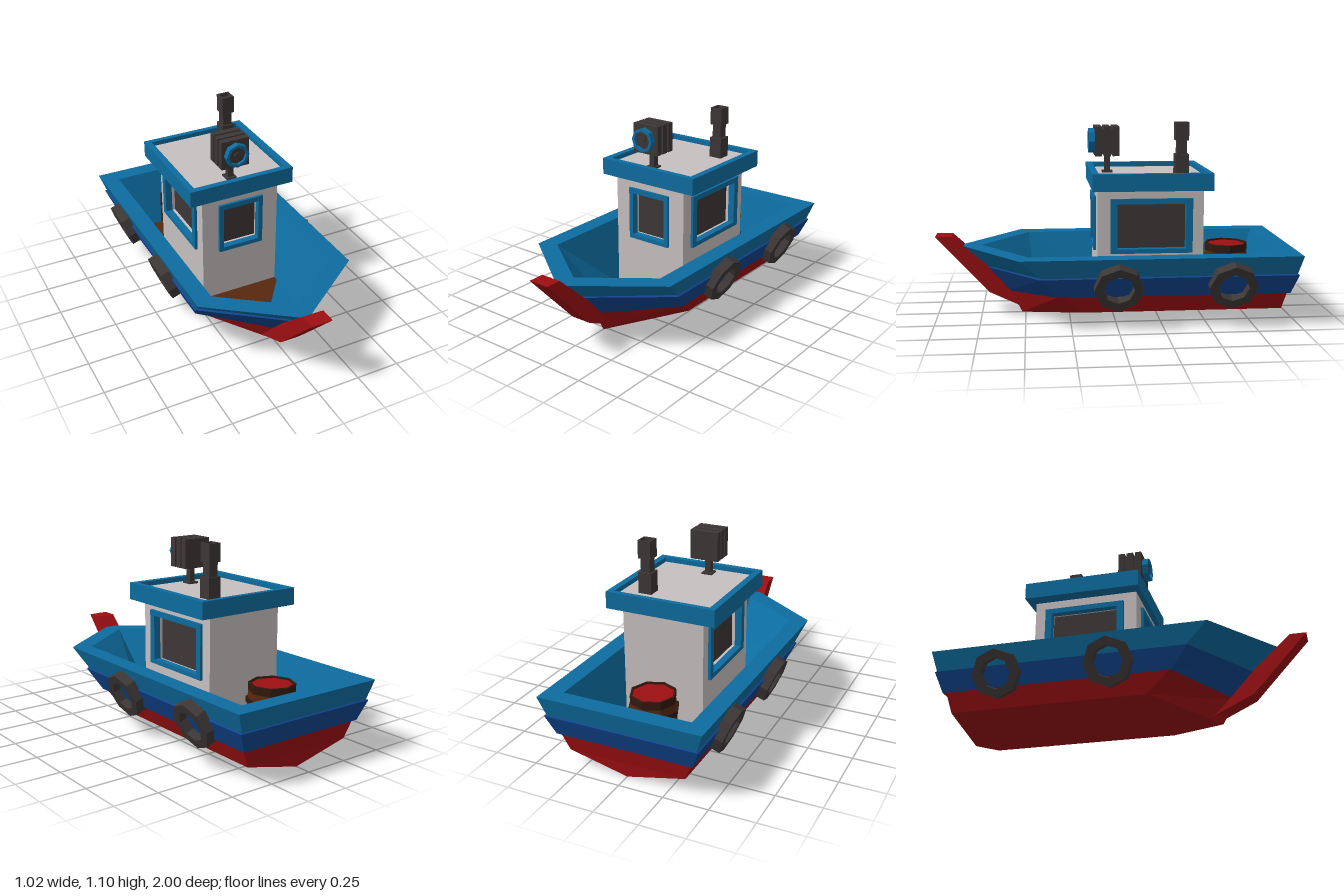
import * as THREE from 'three';

const mat = (name, color) => Object.assign(new THREE.MeshStandardMaterial({ color }), { name });

export function createModel() {
  const boat = new THREE.Group();
  boat.name = 'tugboat';
  const teal = mat('teal', 0x0d6c9f), blue = mat('navy blue', 0x10448c), red = mat('red', 0x9c0f12);
  const grey = mat('charcoal', 0x3d3736), white = mat('off white', 0xc6c0bf);
  const brown = mat('deck brown', 0x58270f), darkBrown = mat('dark brown', 0x33190f);

  // Helpers: faceted mesh, box, rectangle with a hole, octagonal ring
  const add = (name, geo, material, parent = boat) => {
    const g = geo.index ? geo.toNonIndexed() : geo;
    g.computeVertexNormals();
    const m = new THREE.Mesh(g, material);
    m.name = name;
    parent.add(m);
    return m;
  };
  const box = (name, material, x0, x1, y0, y1, z0, z1, parent) =>
    add(name, new THREE.BoxGeometry(x1 - x0, y1 - y0, z1 - z0)
      .translate((x0 + x1) / 2, (y0 + y1) / 2, (z0 + z1) / 2), material, parent);
  const rect = (target, x0, x1, y0, y1) => {
    target.moveTo(x0, y0).lineTo(x1, y0).lineTo(x1, y1).lineTo(x0, y1).closePath();
    return target;
  };
  const holed = (outer, inner, depth) => {
    const s = rect(new THREE.Shape(), ...outer);
    s.holes.push(rect(new THREE.Path(), ...inner));
    return new THREE.ExtrudeGeometry(s, { depth, bevelEnabled: false });
  };
  const lathe = (pts) => new THREE.LatheGeometry(pts.map(p => new THREE.Vector2(...p)), 8);
  const ring = (ri, ro, h) => lathe([[ri, -h], [ro, -h], [ro, h], [ri, h], [ri, -h]]);

  // Hull: five-cornered loops, stern to bow, skinned in colour bands
  const loop = (x, y, stern, corner, bow, bowY = y) =>
    [[-x, y, stern], [-x, y, corner], [0, bowY, bow], [x, y, corner], [x, y, stern]];
  const faces = (name, tris, material) => add(name, new THREE.BufferGeometry()
    .setAttribute('position', new THREE.Float32BufferAttribute(tris.flat(2), 3)), material);
  const skin = (...loops) => {
    const tris = [];
    for (let k = 0; k + 1 < loops.length; k++) {
      for (let i = 0; i < 5; i++) {
        const j = (i + 1) % 5, lo = loops[k], up = loops[k + 1];
        tris.push([lo[i], lo[j], up[j]], [lo[i], up[j], up[i]]);
      }
    }
    return tris;
  };
  const chine = loop(0.335, 0.08, -0.915, 0.18, 0.52, 0);
  const redTop = loop(0.378, 0.185, -0.935, 0.31, 0.59, 0.135);
  const blueLow = loop(0.39, 0.18, -0.95, 0.32, 0.6, 0.13);
  const blueTop = loop(0.437, 0.29, -0.985, 0.42, 0.72, 0.272);
  const tealLow = loop(0.427, 0.295, -0.977, 0.41, 0.71, 0.275);
  const rimOut = loop(0.465, 0.4, -1, 0.53, 0.87);
  const rimIn = loop(0.365, 0.4, -0.9, 0.48, 0.745);
  const floor = loop(0.235, 0.08, -0.78, 0.13, 0.435);
  const keel = [0, 0, -0.91];
  const [sl, cl, bow, cr, sr] = chine;
  faces('lowerHull', [...skin(chine, redTop, blueLow),
    [keel, bow, cl], [keel, cl, sl], [keel, cr, bow], [keel, sr, cr], [keel, sl, sr]], red);
  faces('middleHull', skin(redTop, blueLow, blueTop, tealLow), blue);
  faces('upperHull', skin(tealLow, rimOut, rimIn, floor), teal);
  faces('deck', [1, 2, 3].map(i => [floor[0], floor[i], floor[i + 1]]), brown);

  // Stem post at the bow
  const stem = new THREE.Shape([[1, 0.46], [0.91, 0.46], [0.705, 0.27], [0.55, 0.1], [0.48, 0.03], [0.7, 0.135]]
    .map(p => new THREE.Vector2(...p)));
  add('stemPost', new THREE.ExtrudeGeometry(stem, { depth: 0.12, bevelEnabled: false })
    .rotateY(-Math.PI / 2).translate(0.06, 0, 0), red);

  // Tyre fenders lying against the sloping sides
  for (const side of [1, -1]) {
    for (const z of [0, -0.62]) {
      const tyre = add('tyreFender', ring(0.085, 0.134, 0.034), grey);
      tyre.position.set(side * 0.43, 0.243, z);
      tyre.rotation.z = -side * (Math.PI / 2 + 0.37);
    }
  }

  // Cabin walls with framed, recessed windows
  const cabin = new THREE.Group();
  cabin.name = 'cabin';
  boat.add(cabin);
  const wall = (name, w, winX, winHalf, frame) => {
    const g = new THREE.Group();
    g.name = name;
    cabin.add(g);
    const hole = [winX - winHalf, winX + winHalf, 0.41, 0.66];
    const outer = [hole[0] - frame, hole[1] + frame, 0.385, 0.69];
    add('wallPanel', holed([-w / 2, w / 2, 0.08, 0.75], [hole[0] - 0.005, hole[1] + 0.005, 0.405, 0.665], 0.05)
      .translate(0, 0, -0.05), white, g);
    add('windowFrame', holed(outer, hole, 0.04).translate(0, 0, -0.025), teal, g);
    return g;
  };
  wall('frontWall', 0.47, 0, 0.11, 0.026).position.z = 0.1;
  for (const side of [1, -1]) {
    const g = wall('sideWall', 0.54, -side * 0.02, 0.19, 0.038);
    g.position.set(side * 0.235, 0, -0.22);
    g.rotation.y = side * Math.PI / 2;
  }
  box('backWall', white, -0.186, 0.186, 0.08, 0.75, -0.49, -0.43, cabin);
  box('darkGlass', grey, -0.19, 0.19, 0.1, 0.74, -0.44, 0.055, cabin);

  // Roof with a raised rim
  box('roofBase', teal, -0.31, 0.31, 0.742, 0.77, -0.525, 0.125, cabin);
  add('roofRim', holed([-0.315, 0.315, -0.13, 0.53], [-0.278, 0.278, -0.095, 0.5], 0.095)
    .rotateX(-Math.PI / 2).translate(0, 0.74, 0), teal, cabin);
  box('roofTop', white, -0.28, 0.28, 0.77, 0.808, -0.502, 0.097, cabin);

  // Funnel: three square sections, the top one hollow
  const funnel = new THREE.Group();
  funnel.name = 'funnel';
  funnel.position.set(0.143, 0, -0.375);
  boat.add(funnel);
  box('funnelBase', grey, -0.038, 0.038, 0.8, 0.925, -0.038, 0.038, funnel);
  box('funnelNeck', grey, -0.027, 0.027, 0.92, 1.02, -0.027, 0.027, funnel);
  add('funnelTop', holed([-0.037, 0.037, -0.037, 0.037], [-0.028, 0.028, -0.028, 0.028], 0.1)
    .rotateX(-Math.PI / 2).translate(0, 1.002, 0), grey, funnel);
  box('funnelCore', grey, -0.03, 0.03, 1.003, 1.08, -0.03, 0.03, funnel);

  // Searchlight: ribbed housing on a post, with an octagonal lens ring
  const lamp = new THREE.Group();
  lamp.name = 'searchlight';
  lamp.position.set(-0.03, 0.988, 0);
  boat.add(lamp);
  box('lampFoot', grey, -0.03, 0.03, -0.185, -0.17, -0.005, 0.055, lamp);
  box('lampPost', grey, -0.017, 0.017, -0.18, -0.07, 0.008, 0.042, lamp);
  box('lampCore', grey, -0.07, 0.07, -0.07, 0.07, -0.035, 0.09, lamp);
  for (const z of [-0.04, 0.01, 0.06]) {
    box('lampRib', grey, -0.083, 0.083, -0.083, 0.083, z, z + 0.038, lamp);
  }
  add('lensRing', ring(0.052, 0.069, 0.02).rotateX(Math.PI / 2).translate(0, 0, 0.112), teal, lamp);
  const disc = (r, h) => new THREE.CylinderGeometry(r, r, h, 8).rotateX(Math.PI / 2);
  add('lens', disc(0.054, 0.02).translate(0, 0, 0.105), grey, lamp);
  add('bulb', disc(0.017, 0.012).translate(0, 0, 0.119), grey, lamp);

  // Barrel on the after deck
  const barrel = new THREE.Group();
  barrel.name = 'barrel';
  barrel.position.set(-0.035, 0, -0.675);
  boat.add(barrel);
  add('staves', lathe([[0.112, 0.08], [0.13, 0.17], [0.13, 0.29], [0.12, 0.375]]), brown, barrel);
  add('barrelRim', ring(0.114, 0.126, 0.022).translate(0, 0.363, 0), darkBrown, barrel);
  for (const y of [0.17, 0.29]) {
    add('hoop', ring(0.12, 0.139, 0.014).translate(0, y, 0), darkBrown, barrel);
  }
  add('barrelLid', new THREE.CylinderGeometry(0.117, 0.117, 0.02, 8).translate(0, 0.366, 0), red, barrel);

  return boat;
}
